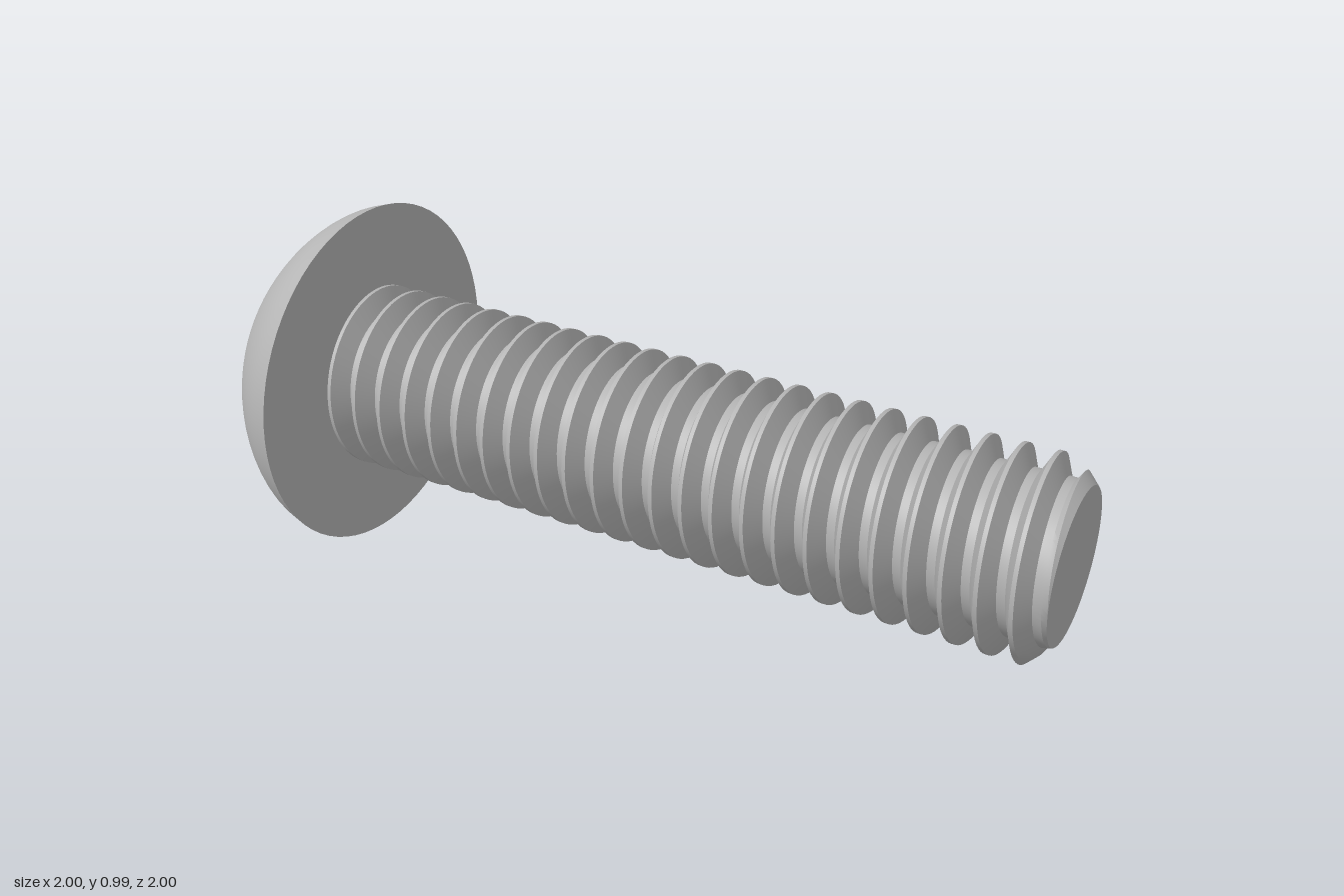
import * as THREE from 'three';
import { toCreasedNormals } from 'three/addons/utils/BufferGeometryUtils.js';

const SEGMENTS = 72;

// Skin of cross-sections around the local y axis; each row maps an angle to [radius, height].
function loft(rows) {
  const positions = [], index = [], stride = SEGMENTS + 1;
  for (const row of rows) {
    for (let j = 0; j <= SEGMENTS; j++) {
      const angle = (j / SEGMENTS) * Math.PI * 2;
      const [r, y] = row(angle);
      positions.push(r * Math.cos(angle), y, -r * Math.sin(angle));
    }
  }
  const point = (i) => new THREE.Vector3().fromArray(positions, i * 3);
  const addFace = (a, b, c) => {
    const area = point(b).sub(point(a)).cross(point(c).sub(point(a))).length();
    if (area > 1e-8) index.push(a, b, c); // skip collapsed faces
  };
  for (let i = 0; i < rows.length - 1; i++) {
    for (let j = 0; j < SEGMENTS; j++) {
      const a = i * stride + j, b = a + 1, c = b + stride, d = a + stride;
      addFace(a, b, c);
      addFace(a, c, d);
    }
  }
  const geometry = new THREE.BufferGeometry();
  geometry.setAttribute('position', new THREE.Float32BufferAttribute(positions, 3));
  geometry.setIndex(index);
  // Enlarged while creasing so that close thread edges are not merged
  geometry.scale(100, 100, 100);
  return toCreasedNormals(geometry, 0.45).scale(0.01, 0.01, 0.01);
}

// Domed head with a countersunk hexagonal socket
function headGeometry() {
  const top = -1.12, under = -0.851, floor = -0.94, corner = 0.2;
  const hexRadius = (angle) => {
    const sector = Math.PI / 3;
    const local = (((angle - Math.PI / 12) % sector) + sector) % sector;
    return (corner * Math.cos(sector / 2)) / Math.cos(local - sector / 2);
  };
  const dome = new THREE.CatmullRomCurve3([
    [0.26, top], [0.333, -1.073], [0.396, -1.018], [0.445, -0.962], [0.478, -0.908], [0.497, under],
  ].map(([r, y]) => new THREE.Vector3(r, y, 0))).getPoints(20);

  return loft([
    () => [0, floor],
    (a) => [hexRadius(a), floor],
    (a) => [hexRadius(a), top + (corner + 0.002 - hexRadius(a)) * 0.6],
    () => [corner + 0.002, top],
    ...dome.map((p) => () => [p.x, p.y]),
    () => [0, under],
  ]);
}

// Shank with a right-handed helical thread and a chamfered tip
function shankGeometry() {
  const start = -0.86, end = 1.213, pitch = 0.0855;
  const major = 0.26, minor = 0.206, tip = 0.2, crestAtZero = -0.779;
  const threadRadius = (y, angle) => {
    const turn = (y - crestAtZero) / pitch - angle / (Math.PI * 2);
    const fromCrest = Math.abs(turn - Math.round(turn));
    const drop = THREE.MathUtils.clamp((fromCrest - 1 / 16) / (5 / 16), 0, 1);
    return Math.min(THREE.MathUtils.lerp(major, minor, drop), tip + end - y);
  };
  const rows = [() => [0, start]];
  for (let turn = -3; turn <= 24; turn++) {
    for (const step of [-1, 1, 3.5, 6, 10, 12.5]) {
      rows.push((angle) => {
        const y = crestAtZero + pitch * (turn + step / 16 + angle / (Math.PI * 2));
        const clamped = THREE.MathUtils.clamp(y, start, end);
        return [threadRadius(clamped, angle), clamped];
      });
    }
  }
  rows.push(() => [tip, end], () => [0, end]);
  return loft(rows);
}

export function createModel() {
  const steel = new THREE.MeshStandardMaterial({ color: 0xb4b4b4 });
  steel.name = 'steel grey';

  const screw = new THREE.Group();
  screw.name = 'screw';
  for (const [name, geometry] of [['head', headGeometry()], ['threadedShank', shankGeometry()]]) {
    const mesh = new THREE.Mesh(geometry, steel);
    mesh.name = name;
    screw.add(mesh);
  }

  // Lay the screw diagonally, tip towards +x and +z
  const h = Math.SQRT1_2;
  screw.quaternion.setFromRotationMatrix(new THREE.Matrix4().makeBasis(
    new THREE.Vector3(h, 0, -h), new THREE.Vector3(h, 0, h), new THREE.Vector3(0, -1, 0)));
  screw.position.y = 0.497;

  const model = new THREE.Group();
  model.name = 'buttonHeadScrew';
  model.add(screw);
  return model;
}
